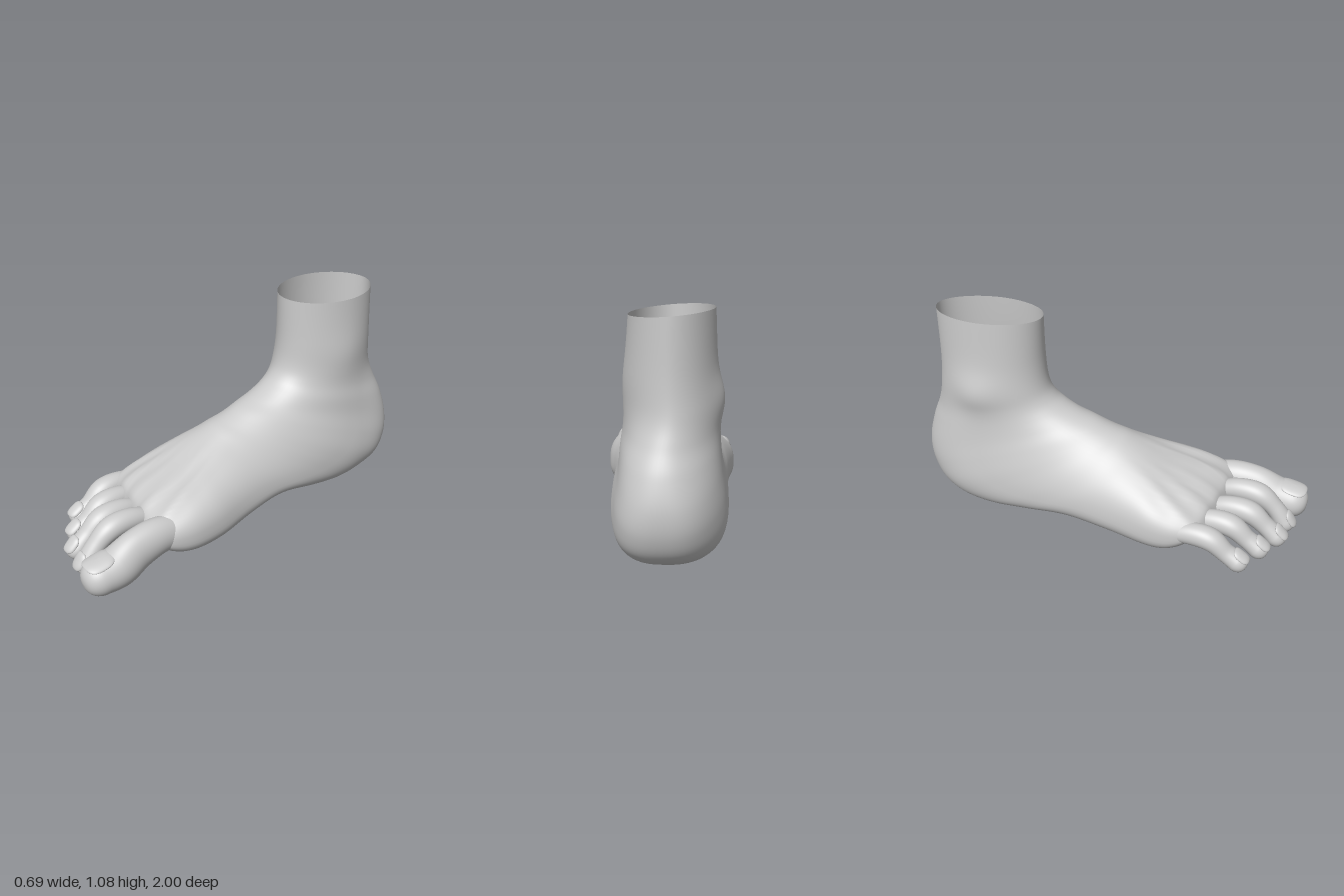
import * as THREE from 'three';

const SEG = 72;
const material = new THREE.MeshStandardMaterial({ color: 0xcccccc, side: THREE.DoubleSide });
const { smoothstep, lerp, clamp } = THREE.MathUtils;
const spow = (v, p) => Math.sign(v) * Math.abs(v) ** p;
const gauss = (v, width) => Math.exp(-((v / width) ** 2));

// Smooth interpolation of a list of number rows, u in 0..1
function sample(rows, u) {
  const f = u * (rows.length - 1);
  const i = Math.min(Math.floor(f), rows.length - 2);
  const t = f - i;
  const a = rows[Math.max(i - 1, 0)], b = rows[i], c = rows[i + 1], d = rows[Math.min(i + 2, rows.length - 1)];
  return b.map((v, k) => v + 0.5 * t * (c[k] - a[k]
    + t * (2 * a[k] - 5 * v + 4 * c[k] - d[k] + t * (3 * (v - c[k]) + d[k] - a[k]))));
}

// Skin over closed rings of SEG points
function loft(rings) {
  const index = [];
  for (let i = 0; i < rings.length - 1; i++) {
    for (let j = 0; j < SEG; j++) {
      const k = (j + 1) % SEG;
      const a = i * SEG + j, b = a + SEG, c = i * SEG + k, d = c + SEG;
      index.push(a, b, c, b, d, c);
    }
  }
  const geo = new THREE.BufferGeometry();
  geo.setAttribute('position', new THREE.Float32BufferAttribute(rings.flat(2), 3));
  geo.setIndex(index);
  geo.computeVertexNormals();
  return geo;
}

function ring(fn) {
  return Array.from({ length: SEG }, (_, j) => fn((j / SEG) * Math.PI * 2));
}

function mesh(name, geo) {
  const m = new THREE.Mesh(geo, material);
  m.name = name;
  return m;
}

// Sections turning from the shin round the heel to the ball of the foot:
// front z, y, back z, y, right x, left x
const BODY = [
  [-0.33, 1.07, -0.88, 1.07, -0.215, 0.155],
  [-0.33, 0.85, -0.88, 0.82, -0.225, 0.17],
  [-0.315, 0.72, -0.893, 0.66, -0.235, 0.172],
  [-0.28, 0.65, -0.925, 0.55, -0.235, 0.177],
  [-0.22, 0.605, -0.97, 0.44, -0.24, 0.19],
  [-0.14, 0.57, -0.998, 0.31, -0.25, 0.2],
  [-0.06, 0.545, -0.985, 0.19, -0.265, 0.22],
  [0, 0.522, -0.93, 0.09, -0.278, 0.237],
  [0.05, 0.505, -0.82, 0.03, -0.284, 0.243],
  [0.1, 0.49, -0.66, 0.004, -0.288, 0.245],
  [0.15, 0.468, -0.45, 0.02, -0.292, 0.25],
  [0.2, 0.445, -0.2, 0.05, -0.302, 0.262],
  [0.27, 0.415, 0.05, 0.035, -0.322, 0.29],
  [0.36, 0.382, 0.25, 0.015, -0.342, 0.325],
  [0.46, 0.352, 0.41, 0.015, -0.344, 0.335],
  [0.56, 0.315, 0.53, 0.045, -0.332, 0.315],
  [0.625, 0.27, 0.6, 0.1, -0.305, 0.28],
  [0.65, 0.21, 0.64, 0.16, -0.25, 0.21],
];

// Smaller toes: name, x, tip z, knuckle y
const SMALL_TOES = [
  ['secondToe', 0.097, 0.96, 0.215],
  ['thirdToe', -0.032, 0.94, 0.19],
  ['fourthToe', -0.153, 0.875, 0.18],
  ['littleToe', -0.28, 0.8, 0.175],
];
const TOE_X = [0.25, ...SMALL_TOES.map((t) => t[1])];

function bodyPoint([fz, fy, bz, by, xr, xl], angle) {
  const c = Math.cos(angle), s = Math.sin(angle);
  // round at the leg, flatter on the sole and over the toe joints
  const mid = 0.5 - 0.08 * smoothstep(fz, -0.33, 0);
  const n = c > 0
    ? 2 + 0.5 * smoothstep(fz, 0, 0.45)
    : 1.9 + 0.7 * smoothstep(fz, -0.33, -0.06) - 0.4 * smoothstep(fz, 0.5, 0.65);
  const along = mid + (c > 0 ? 1 - mid : mid) * spow(c, 2 / n);
  let x = (xr + xl) / 2 + ((xl - xr) / 2) * spow(s, 2 / n);
  let y = by + (fy - by) * along;
  let z = bz + (fz - bz) * along;
  const fore = smoothstep(z, 0, 0.5);
  if (c > 0) x += 0.05 * fore * c * (1 - Math.abs(s));
  // heel swings slightly inwards
  x += 0.025 * smoothstep(-z, 0.7, 1) * (1 - smoothstep(y, 0.5, 0.7));
  // slanting cut at the top of the leg
  y -= 0.08 * (x + 0.03) * smoothstep(y, 0.8, 1.05);
  // ankle bones
  x -= 0.022 * gauss(y - 0.71, 0.1) * gauss(z + 0.62, 0.14) * Math.max(-s, 0);
  x += 0.009 * gauss(y - 0.75, 0.12) * gauss(z + 0.58, 0.15) * Math.max(s, 0);
  // raised inner arch
  if (c < 0) y += 0.035 * gauss(z + 0.12, 0.25) * smoothstep(x, -0.1, 0.25) * -c;
  // tendons fanning out to the toes
  if (c > 0) {
    const f = clamp((z + 0.3) / 0.9, 0, 1);
    for (const tx of TOE_X) y += 0.018 * fore * c * (gauss(x - lerp(-0.02, tx, f), 0.035) - 0.22);
  }
  // the toe line runs back towards the little toe
  z += (x - 0.25) * 0.17 * smoothstep(z, 0.2, 0.6);
  return [x, y, z];
}

// Toe along rows of x, y, z, half width, half height, with a rounded tip
function makeToe(name, rows, nailWidth, nailLength) {
  const group = new THREE.Group();
  group.name = name;
  const rings = [];
  const section = ([x, y, z, w, h], ty, tz, scale = 1) => rings.push(ring((a) => {
    const up = Math.cos(a) * h * scale;
    return [x + Math.sin(a) * w * scale, y + up * tz, z - up * ty];
  }));
  const N = 28;
  let ty = 0, tz = 1;
  for (let i = 0; i <= N; i++) {
    const p = sample(rows, Math.max(i - 0.5, 0) / N), q = sample(rows, Math.min(i + 0.5, N) / N);
    const len = Math.hypot(q[1] - p[1], q[2] - p[2]);
    ty = (q[1] - p[1]) / len;
    tz = (q[2] - p[2]) / len;
    section(sample(rows, i / N), ty, tz);
  }
  const [x, y, z, w, h] = rows[rows.length - 1];
  for (let i = 1; i <= 10; i++) {
    const a = (i / 10) * Math.PI / 2;
    const d = Math.sin(a) * w;
    section([x, y + ty * d, z + tz * d, w, h], ty, tz, Math.max(Math.cos(a), 0.001) ** 0.8);
  }
  group.add(mesh(name + 'Flesh', loft(rings)));

  // nail: squared-off, flattened and bent over the toe
  const geo = new THREE.SphereGeometry(1, 32, 20);
  const pos = geo.attributes.position;
  for (let i = 0; i < pos.count; i++) {
    const nx = spow(pos.getX(i), 0.7), nz = spow(pos.getZ(i), 0.7);
    pos.setXYZ(i, nx * nailWidth, pos.getY(i) * 0.012 - 0.2 * nailWidth * nx * nx, nz * nailLength);
  }
  geo.computeVertexNormals();
  const nail = mesh(name + 'Nail', geo);
  const lift = h - 0.004;
  nail.position.set(x, y + tz * lift, z - ty * lift);
  nail.rotation.x = Math.atan2(-ty, tz) + 0.06;
  group.add(nail);
  return group;
}

export function createModel() {
  const model = new THREE.Group();
  model.name = 'foot';

  // leg, heel, instep and ball in one skin
  const ROWS = 120;
  const rings = Array.from({ length: ROWS + 1 }, (_, i) => {
    const row = sample(BODY, i / ROWS);
    return ring((a) => bodyPoint(row, a));
  });
  // close the front, hidden between the toes
  rings.push(ring(() => [0, 0.185, 0.6]));
  model.add(mesh('ankleAndFoot', loft(rings)));

  model.add(makeToe('bigToe', [
    [0.235, 0.17, 0.44, 0.06, 0.07],
    [0.24, 0.187, 0.6, 0.075, 0.092],
    [0.246, 0.165, 0.72, 0.079, 0.104],
    [0.252, 0.122, 0.82, 0.092, 0.102],
    [0.252, 0.108, 0.91, 0.09, 0.09],
  ], 0.066, 0.07));

  for (const [name, x, tip, knuckle] of SMALL_TOES) {
    model.add(makeToe(name, [
      [x, knuckle - 0.02, tip - 0.42, 0.04, 0.04],
      [x, knuckle + 0.008, tip - 0.3, 0.052, 0.054],
      [x, knuckle, tip - 0.19, 0.058, 0.056],
      [x, knuckle - 0.06, tip - 0.11, 0.049, 0.046],
      [x, 0.08, tip - 0.053, 0.054, 0.05],
    ], 0.039, 0.045));
  }
  return model;
}
